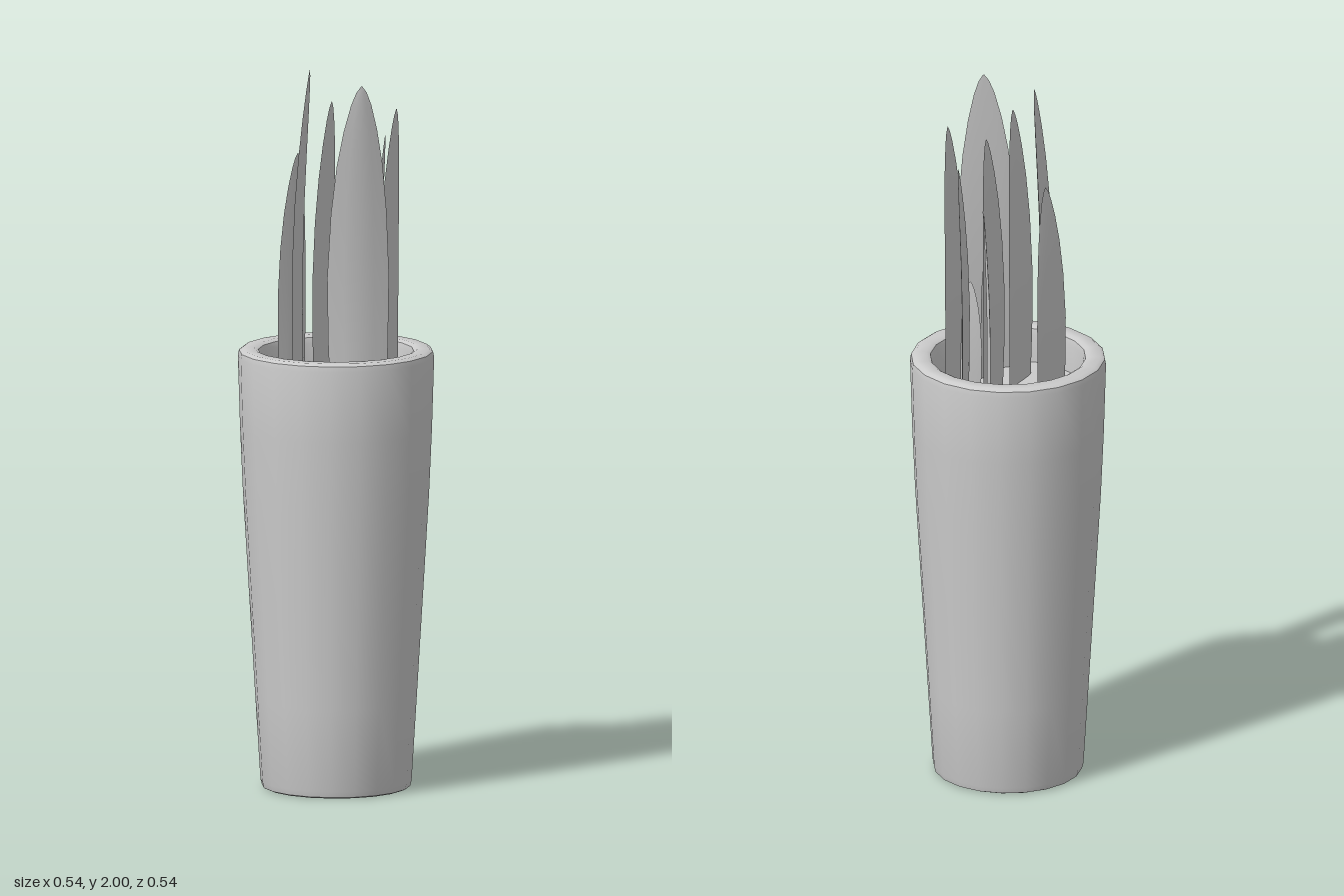
import * as THREE from 'three';
import { toCreasedNormals } from 'three/addons/utils/BufferGeometryUtils.js';

const SOIL = 1.12;
const material = new THREE.MeshStandardMaterial({ color: 0xcccccc });

function lathe(name, profile) {
  const points = profile.map(([r, y]) => new THREE.Vector2(r, y));
  const geometry = toCreasedNormals(new THREE.LatheGeometry(points, 20), 0.7);
  const mesh = new THREE.Mesh(geometry, material);
  mesh.name = name;
  return mesh;
}

// Blade outline: [fraction of height, fraction of width]
const OUTLINE = [[0, 0.9], [0.2, 0.97], [0.4, 1], [0.6, 0.9], [0.75, 0.74],
  [0.86, 0.54], [0.94, 0.33], [0.98, 0.17], [1, 0.02]];
// Crescent cross-section: [across, bulge]
const SECTION = [[-1, 0], [-0.5, 0.6], [0, 1], [0.5, 0.6], [1, 0], [0.5, -0.15], [0, -0.1], [-0.5, -0.15]];

// A blade standing between two ground points, arching sideways towards its tip
function makeLeaf([x0, z0, x1, z1, top]) {
  const half = Math.hypot(x1 - x0, z1 - z0) / 2;
  const ux = (x1 - x0) / 2 / half, uz = (z1 - z0) / 2 / half;
  const cx = (x0 + x1) / 2, cz = (z0 + z1) / 2;
  const base = SOIL - 0.03, n = SECTION.length;
  const positions = [], index = [];
  OUTLINE.forEach(([t, w], i) => {
    const bend = half * (0.32 * t * t - 0.1 * Math.sin(Math.PI * t));
    for (const [across, bulge] of SECTION) {
      const a = across * w * half;
      const b = bend + bulge * w * half * 0.17;
      positions.push(cx + ux * a - uz * b, base + t * (top - base), cz + uz * a + ux * b);
    }
    if (i === 0) return;
    for (let j = 0; j < n; j++) {
      const p = (i - 1) * n + j, q = (i - 1) * n + (j + 1) % n;
      index.push(p, q, q + n, p, q + n, p + n);
    }
  });
  const geometry = new THREE.BufferGeometry();
  geometry.setAttribute('position', new THREE.Float32BufferAttribute(positions, 3));
  geometry.setIndex(index);
  const mesh = new THREE.Mesh(toCreasedNormals(geometry, 0.5), material);
  mesh.name = 'leaf';
  return mesh;
}

export function createModel() {
  const model = new THREE.Group();
  model.name = 'pottedPlant';

  // Tall tapering pot with a thick rounded rim
  model.add(lathe('pot', [
    [0, 0], [0.195, 0], [0.204, 0.004], [0.208, 0.02], [0.222, 0.25], [0.24, 0.55],
    [0.256, 0.82], [0.264, 1.0], [0.27, 1.2], [0.267, 1.215], [0.257, 1.222],
    [0.225, 1.222], [0.214, 1.216], [0.21, 1.2], [0.208, SOIL - 0.02],
  ]));

  // Soil surface inside the rim
  model.add(lathe('soil', [[0.209, SOIL], [0, SOIL]]));

  // Blades: x and z of both edges, then tip height
  const leaves = new THREE.Group();
  leaves.name = 'leaves';
  [
    [-0.022, 0.157, -0.127, -0.013, 2.0],
    [0.09, 0.145, 0.186, -0.005, 1.98],
    [-0.155, 0.06, -0.155, -0.06, 1.75],
    [0.025, 0.128, -0.007, -0.007, 1.92],
    [0.02, 0.005, -0.012, -0.122, 1.87],
    [0.13, -0.03, 0.095, -0.158, 1.89],
    [0.067, -0.087, 0.005, -0.19, 1.8],
    [-0.012, -0.095, -0.073, -0.162, 1.69],
    [0.075, -0.023, 0.123, -0.065, 1.42],
    [0.095, 0.075, 0.105, 0.005, 1.5],
  ].forEach((spec) => leaves.add(makeLeaf(spec)));
  model.add(leaves);

  return model;
}
